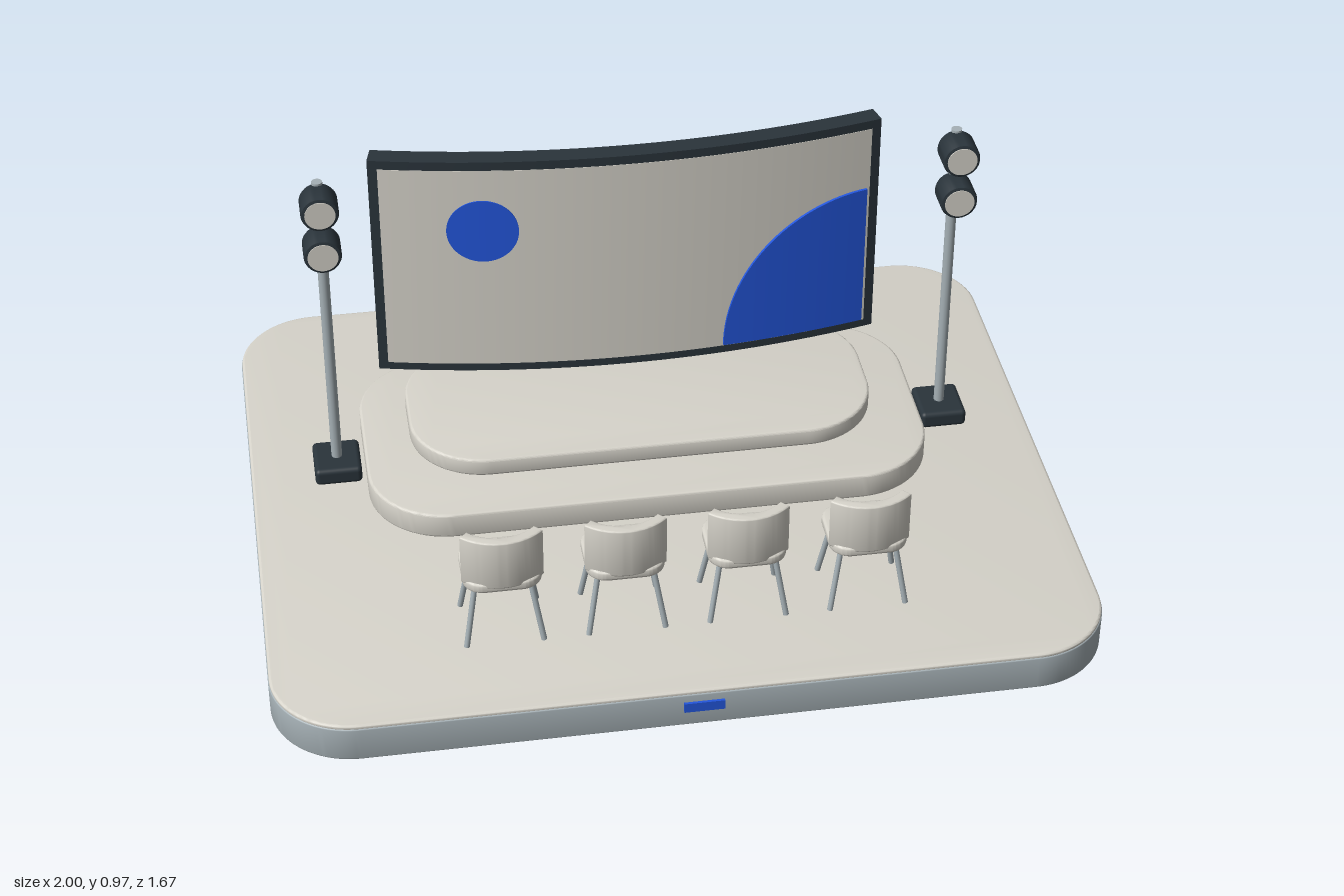
import * as THREE from 'three';
import { toCreasedNormals } from 'three/addons/utils/BufferGeometryUtils.js';
import { RoundedBoxGeometry } from 'three/addons/geometries/RoundedBoxGeometry.js';

const mat = (name, color) => {
  const m = new THREE.MeshStandardMaterial({ color });
  m.name = name;
  return m;
};

export function createModel() {
  const model = new THREE.Group();
  model.name = 'conferenceStage';
  const warm = mat('warmGrey', 0xd6d3ca);
  const steel = mat('steelGrey', 0xa6b1b6);
  const dark = mat('charcoal', 0x2a343b);
  const blue = mat('accentBlue', 0x2356dc);

  const add = (parent, name, geometry, material, x = 0, y = 0, z = 0) => {
    const m = new THREE.Mesh(geometry, material);
    m.name = name;
    m.position.set(x, y, z);
    parent.add(m);
    return m;
  };
  const group = (parent, name, x = 0, y = 0, z = 0) => {
    const g = new THREE.Group();
    g.name = name;
    g.position.set(x, y, z);
    parent.add(g);
    return g;
  };

  // Raise a plan outline from y = 0 to y = h, with a small bevel
  const raise = (shape, h, b) => {
    const g = new THREE.ExtrudeGeometry(shape, {
      depth: h - 2 * b, bevelEnabled: b > 0, bevelSize: b, bevelThickness: b,
      bevelOffset: -b, bevelSegments: 3, curveSegments: 14,
    });
    g.rotateX(-Math.PI / 2).translate(0, b, 0);
    return toCreasedNormals(g, 0.6);
  };
  // Rounded rectangular slab, hx and hz are half sizes
  const slab = (hx, hz, h, r, b) => {
    const s = new THREE.Shape();
    s.absarc(hx - r, hz - r, r, 0, Math.PI / 2);
    s.absarc(-hx + r, hz - r, r, Math.PI / 2, Math.PI);
    s.absarc(-hx + r, -hz + r, r, Math.PI, 1.5 * Math.PI);
    s.absarc(hx - r, -hz + r, r, 1.5 * Math.PI, 2 * Math.PI);
    s.closePath();
    return raise(s, h, b);
  };
  const rod = (parent, name, a, b, r, material) => {
    const from = new THREE.Vector3(...a), to = new THREE.Vector3(...b);
    const dir = to.clone().sub(from);
    const m = add(parent, name, new THREE.CylinderGeometry(r, r, dir.length(), 12), material);
    m.position.copy(from).add(to).multiplyScalar(0.5);
    m.quaternion.setFromUnitVectors(new THREE.Vector3(0, 1, 0), dir.normalize());
  };

  // Platform and steps
  add(model, 'platformBase', slab(1, 0.83, 0.092, 0.2, 0.004), steel);
  add(model, 'platformTop', slab(0.998, 0.828, 0.014, 0.198, 0.006), warm, 0, 0.087, 0);
  add(model, 'platformBadge', new THREE.BoxGeometry(0.096, 0.026, 0.009), blue, 0, 0.057, 0.832);
  add(model, 'lowerStep', slab(0.71, 0.331, 0.068, 0.2, 0.006), warm, 0, 0.1, -0.152);
  add(model, 'upperStep', slab(0.592, 0.246, 0.048, 0.19, 0.006), warm, 0, 0.167, -0.214);

  // Curved screen: boxes bent around a vertical axis behind the stage.
  // d0..d1 is the depth range, outline optionally reshapes (u, v) in -0.5..0.5
  const R = 2.8, FRONT = -0.297;
  const bent = (x0, x1, y0, y1, d0, d1, outline) => {
    const g = new THREE.BoxGeometry(1, 1, 1, 32, 1, 1);
    const p = g.attributes.position;
    for (let i = 0; i < p.count; i++) {
      let u = p.getX(i), v = p.getY(i);
      if (outline) [u, v] = outline(u, v);
      const a = Math.asin((x0 + (u + 0.5) * (x1 - x0)) / R);
      const r = R + d0 + (p.getZ(i) + 0.5) * (d1 - d0);
      p.setXYZ(i, r * Math.sin(a), y0 + (v + 0.5) * (y1 - y0), FRONT - R + r * Math.cos(a));
    }
    g.computeVertexNormals();
    return g;
  };
  const disc = (u, v) => [0.5 * Math.sin(u * Math.PI), v * Math.cos(u * Math.PI)];
  const quarter = (u, v) => {
    const t = (u + 0.5) * Math.PI / 2;
    return [0.5 - Math.cos(t), (v + 0.5) * Math.sin(t) - 0.5];
  };
  const screen = group(model, 'screen');
  const W = 0.648, B = 0.235, T = 0.866, w = 0.624, b = 0.257, t = 0.842;
  add(screen, 'screenBack', bent(-W, W, B, T, -0.05, -0.01), dark);
  add(screen, 'frameTop', bent(-W, W, t, T, -0.01, 0.001), dark);
  add(screen, 'frameBottom', bent(-W, W, B, b, -0.01, 0.001), dark);
  add(screen, 'frameLeft', bent(w, W, b, t, -0.01, 0.001), dark);
  add(screen, 'frameRight', bent(-W, -w, b, t, -0.01, 0.001), dark);
  add(screen, 'screenPanel', bent(-w, w, b, t, -0.01, 0.002), warm);
  add(screen, 'screenDisc', bent(-0.462, -0.282, 0.575, 0.755, 0.001, 0.005, disc), blue);
  add(screen, 'screenQuarterDisc', bent(0.238, 0.612, 0.267, 0.672, 0.008, 0.015, quarter), blue);

  // Light stands
  const housing = new THREE.LatheGeometry([
    [0, 0], [0.037, 0], [0.043, 0.003], [0.046, 0.01], [0.046, 0.072], [0.044, 0.078], [0.038, 0.08], [0, 0.08],
  ].map(([x, y]) => new THREE.Vector2(x, y)), 32).rotateX(Math.PI / 2);
  const housingGeo = toCreasedNormals(housing, 0.6);
  const lensGeo = new THREE.CylinderGeometry(0.037, 0.037, 0.004, 32).rotateX(Math.PI / 2);
  for (const side of [-1, 1]) {
    const stand = group(model, side > 0 ? 'leftLightStand' : 'rightLightStand', side * 0.78, 0, -0.138);
    add(stand, 'standFoot', new RoundedBoxGeometry(0.118, 0.046, 0.13, 3, 0.012), dark, 0, 0.124, 0);
    rod(stand, 'standPole', [0, 0.12, 0], [0, 0.966, 0], 0.0135, steel);
    for (const y of [0.795, 0.915]) {
      add(stand, 'lampHousing', housingGeo, dark, 0, y, -0.008);
      add(stand, 'lampLens', lensGeo, warm, 0, y, 0.072);
    }
  }

  // Row of chairs facing the stage
  const seatGeo = slab(0.094, 0.088, 0.027, 0.05, 0.007);
  const arc = new THREE.Shape();
  const half = 0.78, mid = -Math.PI / 2;
  arc.absarc(0, 0.044, 0.138, mid - half, mid + half, false);
  arc.absarc(0, 0.044, 0.112, mid + half, mid - half, true);
  arc.closePath();
  const backGeo = raise(arc, 0.134, 0.004);
  for (let i = 0; i < 4; i++) {
    const chair = group(model, 'chair', -0.437 + i * 0.291, 0, 0.52);
    add(chair, 'seat', seatGeo, warm, 0, 0.27, 0);
    add(chair, 'backrest', backGeo, warm, 0, 0.285, 0);
    for (const sx of [-1, 1]) {
      rod(chair, 'frontLeg', [sx * 0.064, 0.275, -0.052], [sx * 0.092, 0.104, -0.078], 0.007, steel);
      rod(chair, 'rearLeg', [sx * 0.064, 0.275, 0.048], [sx * 0.092, 0.104, 0.075], 0.007, steel);
    }
  }
  return model;
}
